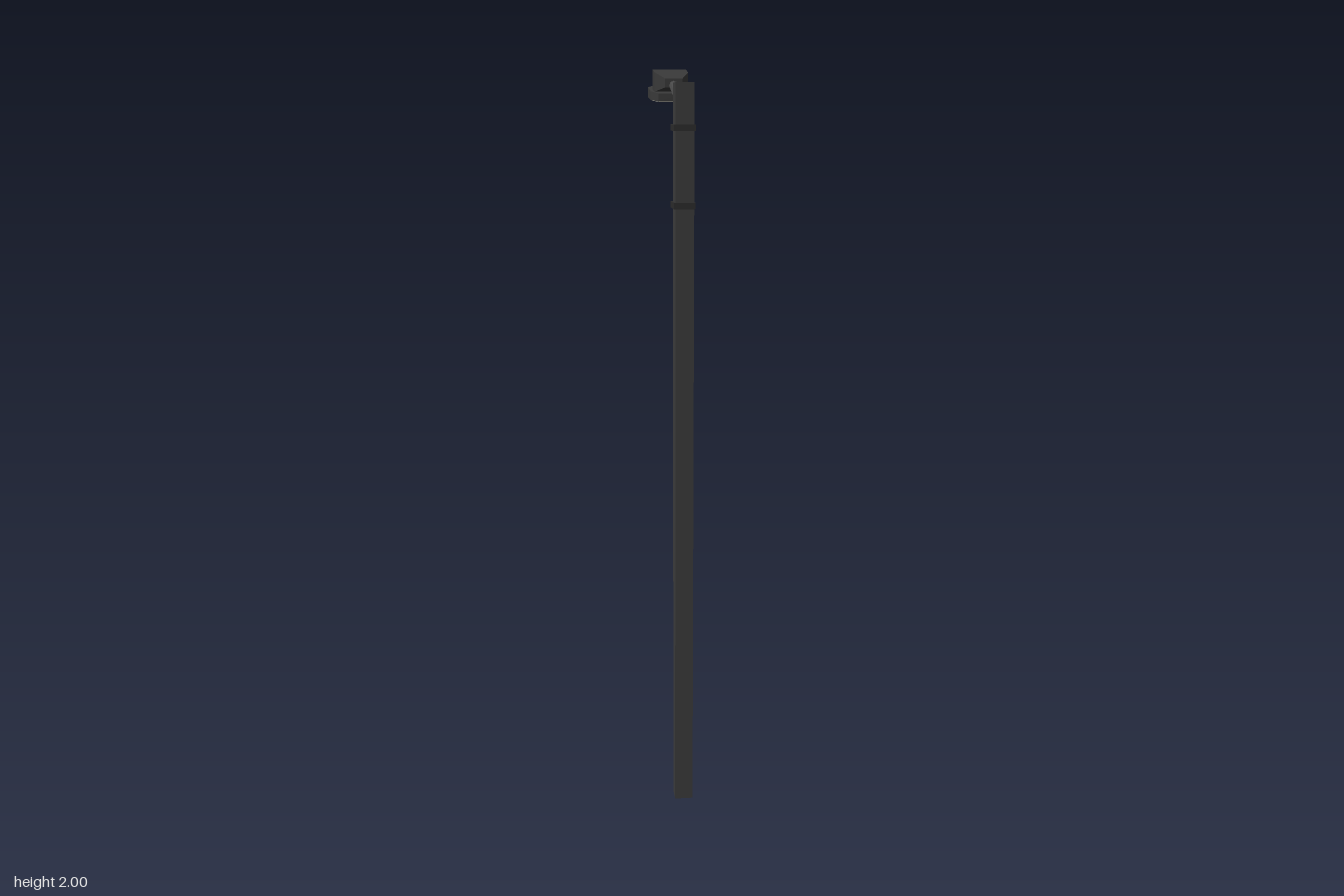
import * as THREE from 'three';

const material = (name, color) => new THREE.MeshStandardMaterial({ name, color, flatShading: true });

// Closed solid through rectangular sections [z, halfWidth, bottom, top], ordered toward -z
function loft(sections) {
  const pos = [], index = [];
  for (const [z, h, b, t] of sections) pos.push(-h, b, z, h, b, z, h, t, z, -h, t, z);
  const last = (sections.length - 1) * 4;
  for (let s = 0; s < last; s += 4) {
    for (let k = 0; k < 4; k++) {
      const a = s + k, b = s + (k + 1) % 4;
      index.push(a, a + 4, b, b, a + 4, b + 4);
    }
  }
  index.push(0, 1, 2, 0, 2, 3, last, last + 2, last + 1, last, last + 3, last + 2);
  const geo = new THREE.BufferGeometry();
  geo.setAttribute('position', new THREE.Float32BufferAttribute(pos, 3));
  geo.setIndex(index);
  const flat = geo.toNonIndexed();
  flat.computeVertexNormals();
  return flat;
}

// Rectangular outline in the x/z plane
function rect(path, h, z0, z1) {
  path.moveTo(-h, z0);
  path.lineTo(h, z0);
  path.lineTo(h, z1);
  path.lineTo(-h, z1);
  path.closePath();
  return path;
}

export function createModel() {
  const group = new THREE.Group();
  const poleMat = material('dark grey pole', 0x3b3b3b);
  const armMat = material('grey arm', 0x484848);
  const clampMat = material('black clamp', 0x2c2c2c);
  const headMat = material('dark grey housing', 0x393939);
  const glassMat = material('pale lens', 0xb4b2a4);

  const add = (name, geo, mat) => {
    const mesh = new THREE.Mesh(geo, mat);
    mesh.name = name;
    group.add(mesh);
    return mesh;
  };

  // Square pole
  add('pole', new THREE.BoxGeometry(0.049, 1.96, 0.05), poleMat).position.set(0, 0.98, 0.2);

  // Bent arm: upright, elbow, rising reach
  const v = (y, z) => new THREE.Vector3(0, y, z);
  const path = new THREE.CurvePath();
  path.add(new THREE.LineCurve3(v(1.63, 0.16), v(1.865, 0.16)));
  path.add(new THREE.QuadraticBezierCurve3(v(1.865, 0.16), v(1.9, 0.16), v(1.911, 0.122)));
  path.add(new THREE.LineCurve3(v(1.911, 0.122), v(1.96, -0.05)));
  add('arm', new THREE.TubeGeometry(path, 40, 0.0125, 8, false), armMat);
  const cap = add('armEndCap', new THREE.CircleGeometry(0.0125, 8), armMat);
  cap.rotation.x = Math.PI / 2;
  cap.position.set(0, 1.63, 0.16);

  // Clamps around pole and arm
  const outline = rect(new THREE.Shape(), 0.028, 0.147, 0.227);
  outline.holes.push(rect(new THREE.Path(), 0.0243, 0.176, 0.2245));
  outline.holes.push(rect(new THREE.Path(), 0.013, 0.15, 0.173));
  for (const [name, y] of [['lowerClamp', 1.652], ['upperClamp', 1.848]]) {
    const geo = new THREE.ExtrudeGeometry(outline, { depth: 0.016, bevelEnabled: false });
    geo.rotateX(Math.PI / 2);
    add(name, geo, clampMat).position.y = y + 0.008;
  }

  // Lamp head: upper housing, wider tray, lens underneath
  add('housing', loft([
    [-0.033, 0.024, 1.95, 1.974],
    [-0.09, 0.046, 1.94, 1.991],
    [-0.15, 0.046, 1.943, 2.0],
    [-0.192, 0.038, 1.95, 1.996],
  ]), headMat);
  add('tray', loft([
    [-0.07, 0.037, 1.914, 1.935],
    [-0.11, 0.055, 1.9175, 1.941],
    [-0.19, 0.055, 1.925, 1.953],
    [-0.228, 0.037, 1.9285, 1.958],
  ]), headMat);
  add('lens', loft([
    [-0.076, 0.034, 1.9125, 1.916],
    [-0.112, 0.05, 1.9158, 1.919],
    [-0.188, 0.05, 1.923, 1.926],
    [-0.222, 0.034, 1.926, 1.929],
  ]), glassMat);

  return group;
}
